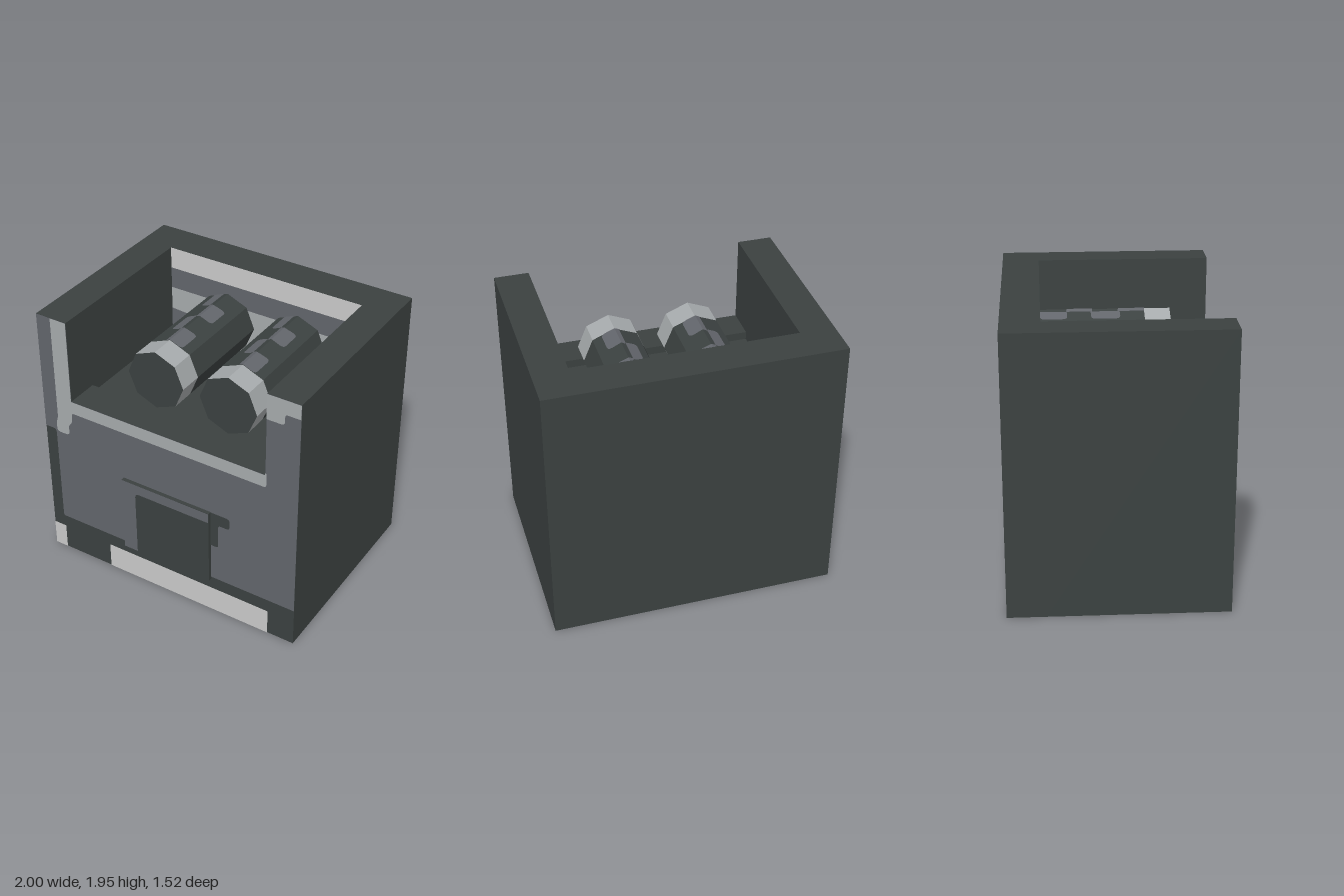
import * as THREE from 'three';

const mat = (name, color) => {
  const m = new THREE.MeshStandardMaterial({ color });
  m.name = name;
  return m;
};

// Closed outline from [x, y, cornerRadius] points
function outline(points) {
  const s = new THREE.Shape();
  const n = points.length;
  points.forEach((p, i) => {
    const toward = (q, r) => {
      const dx = q[0] - p[0], dy = q[1] - p[1], l = Math.hypot(dx, dy);
      const k = Math.min(r, l / 2) / l;
      return [p[0] + dx * k, p[1] + dy * k];
    };
    const r = p[2] || 0;
    const a = toward(points[(i + n - 1) % n], r);
    const b = toward(points[(i + 1) % n], r);
    if (i === 0) s.moveTo(...a); else s.lineTo(...a);
    if (r) s.quadraticCurveTo(p[0], p[1], ...b);
  });
  s.closePath();
  return s;
}
const rect = (x0, x1, y0, y1) => [[x0, y0], [x1, y0], [x1, y1], [x0, y1]];

export function createModel() {
  const dark = mat('charcoal', 0x3b4140);
  const mid = mat('slate grey', 0x62656b);
  const light = mat('light grey', 0xa6aaac);
  const pale = mat('pale grey', 0xc9c9c9);
  const root = new THREE.Group();
  root.name = 'stoneFurnace';

  const add = (name, geo, material, x = 0, y = 0, z = 0, parent = root) => {
    const m = new THREE.Mesh(geo, material);
    m.name = name;
    m.position.set(x, y, z);
    parent.add(m);
    return m;
  };
  const box = (name, x0, x1, y0, y1, z0, z1, material) =>
    add(name, new THREE.BoxGeometry(x1 - x0, y1 - y0, z1 - z0), material,
      (x0 + x1) / 2, (y0 + y1) / 2, (z0 + z1) / 2);
  const paint = (name, points, z, material) =>
    add(name, new THREE.ShapeGeometry(outline(points), 4), material, 0, 0, z);

  const H = 1.95, IN = 0.76, FRONT = 0.727, BACK = -0.5, FLOOR = 1.277, LEDGE = 1.335;

  // Body: U-shaped block, back wall and raised front ledge
  const u = outline([[-1, 0], [1, 0], [1, H], [IN, H], [IN, FLOOR], [-IN, FLOOR], [-IN, H], [-1, H]]);
  add('body', new THREE.ExtrudeGeometry(u, { depth: FRONT - BACK, bevelEnabled: false }), dark, 0, 0, BACK);
  box('backWall', -1, 1, 0, H, -0.76, BACK, dark);
  box('frontLedge', -IN, IN, FLOOR, LEDGE, 0.49, FRONT, dark);

  // Painted stone on the front face
  const z1 = FRONT + 0.003, z2 = FRONT + 0.006;
  paint('frontPanel', [[-0.91, 0.29, 0.02], [1, 0.295], [1, H], [IN, H], [IN, LEDGE], [-IN, LEDGE],
    [-IN, H], [-1, H], [-1, 1.055], [-0.91, 1.055, 0.03]], z1, mid);
  paint('frontTrim', [[-0.885, H], [-0.885, 1.17, 0.02], [-0.9, 1.12, 0.02], [-0.9, 1.045, 0.03],
    [-0.795, 1.045, 0.03], [-0.795, 1.13, 0.02], [-0.765, 1.16, 0.02], [-0.76, 1.24, 0.015],
    [0.77, 1.24, 0.02], [0.77, 1.35], [IN, 1.35], [IN, LEDGE], [-IN, LEDGE], [-IN, H]], z2, light);
  paint('rightCornerTrim', [[IN, 1.765], [0.89, 1.765, 0.03], [0.89, 1.845, 0.02], [1, 1.845],
    [1, H], [IN, H]], z2, light);
  paint('doorShadowPatch', [[0.34, 0.58], [0.41, 0.58, 0.02], [0.41, 0.77, 0.02], [0.5, 0.77, 0.03],
    [0.5, 0.86, 0.03], [0.34, 0.86]], z2, dark);
  paint('leftFootStone', rect(-1, -0.9, 0, 0.195), z1, pale);
  paint('baseStone', rect(-0.505, 0.8, 0, 0.195), z1, pale);

  // Door with its painted L-shaped frame
  box('door', -0.35, 0.35, 0.275, 0.86, FRONT, 0.757, dark);
  paint('doorFrame', [[-0.35, 0.275], [-0.24, 0.275], [-0.24, 0.785, 0.03], [0.35, 0.785],
    [0.35, 0.86], [-0.35, 0.86]], 0.76, mid);

  // Painted bands on the inside of the back wall
  const zb = BACK + 0.003;
  paint('backBandTop', rect(-IN, IN, 1.79, H), zb, pale);
  paint('backBandMiddle', rect(-IN, IN, 1.63, 1.79), zb, mid);
  paint('backBandLower', rect(-IN, IN, FLOOR, 1.63), zb, light);
  paint('backPatch', [[-IN, FLOOR], [-0.61, FLOOR], [-0.61, 1.45, 0.03], [-IN, 1.46]], zb + 0.003, mid);

  // Logs: octagonal bark, cut end band and staggered bark marks
  const R = 0.22, SLOPE = Math.tan(Math.PI / 8);
  const prism = (len) => new THREE.CylinderGeometry(R, R, len, 8).toNonIndexed().rotateX(Math.PI / 2);
  const faceted = (geo) => {
    geo.computeVertexNormals();
    return geo;
  };
  // Lay a flat outline in x and -z onto the log's two upper facets
  const barkMark = (points) => {
    const g = new THREE.ShapeGeometry(outline(points), 3).toNonIndexed().rotateX(-Math.PI / 2);
    const p = g.attributes.position;
    for (let i = 0; i < p.count; i++) p.setY(i, R + 0.004 - SLOPE * Math.abs(p.getX(i)));
    return faceted(g);
  };
  for (const x of [-0.285, 0.285]) {
    const log = new THREE.Group();
    log.name = x < 0 ? 'rightLog' : 'leftLog';
    log.position.set(x, 1.497, 0);
    root.add(log);
    add('bark', faceted(prism(0.73)), dark, 0, 0, -0.135, log);
    add('endBand', faceted(prism(0.18)), [light, dark, dark], 0, 0, 0.32, log);
    for (const [za, zc] of [[-0.5, -0.31], [-0.145, 0.06]]) {
      add('barkMark', barkMark([[-0.105, -zc, 0.03], [-0.03, -zc, 0.015], [-0.03, -za], [-0.105, -za, 0.03]]),
        mid, 0, 0, 0, log);
    }
    for (const [za, zc] of [[-0.32, -0.135], [0.04, 0.23]]) {
      add('barkMark', barkMark([[-0.03, -zc], [0, -zc], [0, -za - 0.01], [-0.03, -za, 0.01]]), mid, 0, 0, 0, log);
      add('barkMark', barkMark([[0, -zc], [0.095, -zc, 0.03], [0.095, -za, 0.03], [0, -za - 0.01]]), mid, 0, 0, 0, log);
    }
  }
  return root;
}
